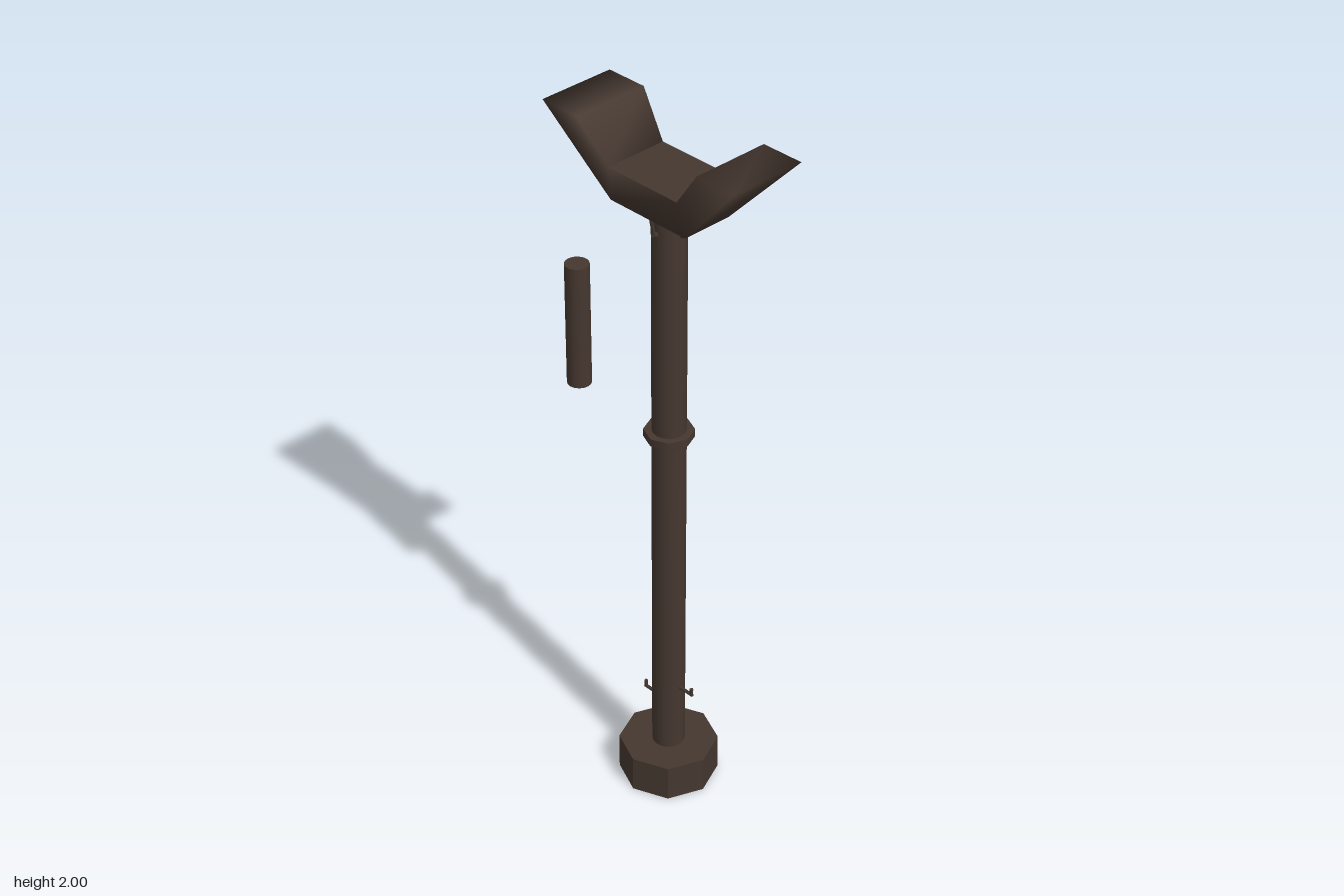
import * as THREE from 'three';

const wood = new THREE.MeshStandardMaterial({ color: 0x45372f });
wood.name = 'dark brown';
const CX = 0.024; // axis of the post

function add(parent, name, geometry, x = 0, y = 0, z = 0) {
  const mesh = new THREE.Mesh(geometry, wood);
  mesh.name = name;
  mesh.position.set(x, y, z);
  parent.add(mesh);
  return mesh;
}

// thin round rod between two points
function rod(parent, name, a, b, r) {
  const from = new THREE.Vector3(...a), to = new THREE.Vector3(...b);
  const dir = to.clone().sub(from);
  const mesh = add(parent, name, new THREE.CylinderGeometry(r, r, dir.length(), 6));
  mesh.position.copy(from).add(to).multiplyScalar(0.5);
  mesh.quaternion.setFromUnitVectors(new THREE.Vector3(0, 1, 0), dir.normalize());
}

// cradle half depth widens with height
const halfDepth = (y) => 0.073 + 0.176 * (y - 1.79);

// bent cradle: closed outline joined front to back, soft edges except the seat
function cradleGeometry() {
  const outline = [
    [-0.322, 2], [-0.127, 1.79], [0.127, 1.79], [0.32, 2],
    [0.2, 2], [0.116, 1.89], [-0.116, 1.89], [-0.202, 2],
  ];
  const n = outline.length;
  const pos = [], index = [];
  for (const s of [1, -1]) for (const [x, y] of outline) pos.push(x, y, s * halfDepth(y));
  for (let i = 0; i < n; i++) {
    const j = (i + 1) % n;
    if (i !== 5) index.push(i, n + i, n + j, i, n + j, j);
  }
  for (const [a, b, c, d] of [[0, 1, 6, 7], [1, 2, 5, 6], [2, 3, 4, 5]]) {
    index.push(a, b, c, a, c, d);
    index.push(n + a, n + c, n + b, n + a, n + d, n + c);
  }
  const g = new THREE.BufferGeometry();
  g.setAttribute('position', new THREE.Float32BufferAttribute(pos, 3));
  g.setIndex(index);
  g.computeVertexNormals();
  return g;
}

export function createModel() {
  const model = new THREE.Group();
  model.name = 'postWithCradle';

  // eight-sided foot, with the post just reaching through it
  const base = new THREE.CylinderGeometry(0.136, 0.136, 0.108, 8).toNonIndexed();
  base.computeVertexNormals();
  add(model, 'base', base, CX, 0.056, 0);
  add(model, 'post', new THREE.CylinderGeometry(0.045, 0.045, 1.79, 16), CX, 0.895, 0);

  // collar around the post
  const collar = new THREE.CylinderGeometry(0.066, 0.066, 0.022, 8);
  add(model, 'collar', collar, CX, 1.136, 0);

  // cradle with a crisp flat seat
  add(model, 'cradle', cradleGeometry(), CX, 0, 0);
  const seat = new THREE.PlaneGeometry(0.232, 2 * halfDepth(1.89)).rotateX(-Math.PI / 2);
  add(model, 'cradleSeat', seat, CX, 1.89, 0);

  // four struts from the post to the cradle
  for (let i = 0; i < 4; i++) {
    const strut = new THREE.Group();
    strut.name = 'strut';
    strut.position.x = CX;
    strut.rotation.y = i * Math.PI / 2;
    rod(strut, 'strutArm', [0.052, 1.738, 0], [0.063, 1.795, 0], 0.005);
    rod(strut, 'strutFoot', [0.035, 1.73, 0], [0.055, 1.74, 0], 0.008);
    model.add(strut);
  }

  // hooked pegs low on either side
  for (const [side, y] of [[1, 0.315], [-1, 0.24]]) {
    const peg = new THREE.Group();
    peg.name = side > 0 ? 'leftPeg' : 'rightPeg';
    const tip = CX + side * 0.088;
    rod(peg, 'pegBar', [CX + side * 0.035, y, 0], [tip + side * 0.004, y, 0], 0.005);
    rod(peg, 'pegHook', [tip, y, 0], [tip, y + 0.02, 0], 0.005);
    model.add(peg);
  }

  // separate cylinder beside the post
  add(model, 'looseCylinder', new THREE.CylinderGeometry(0.033, 0.033, 0.36, 16), -0.311, 1.31, 0);

  return model;
}
